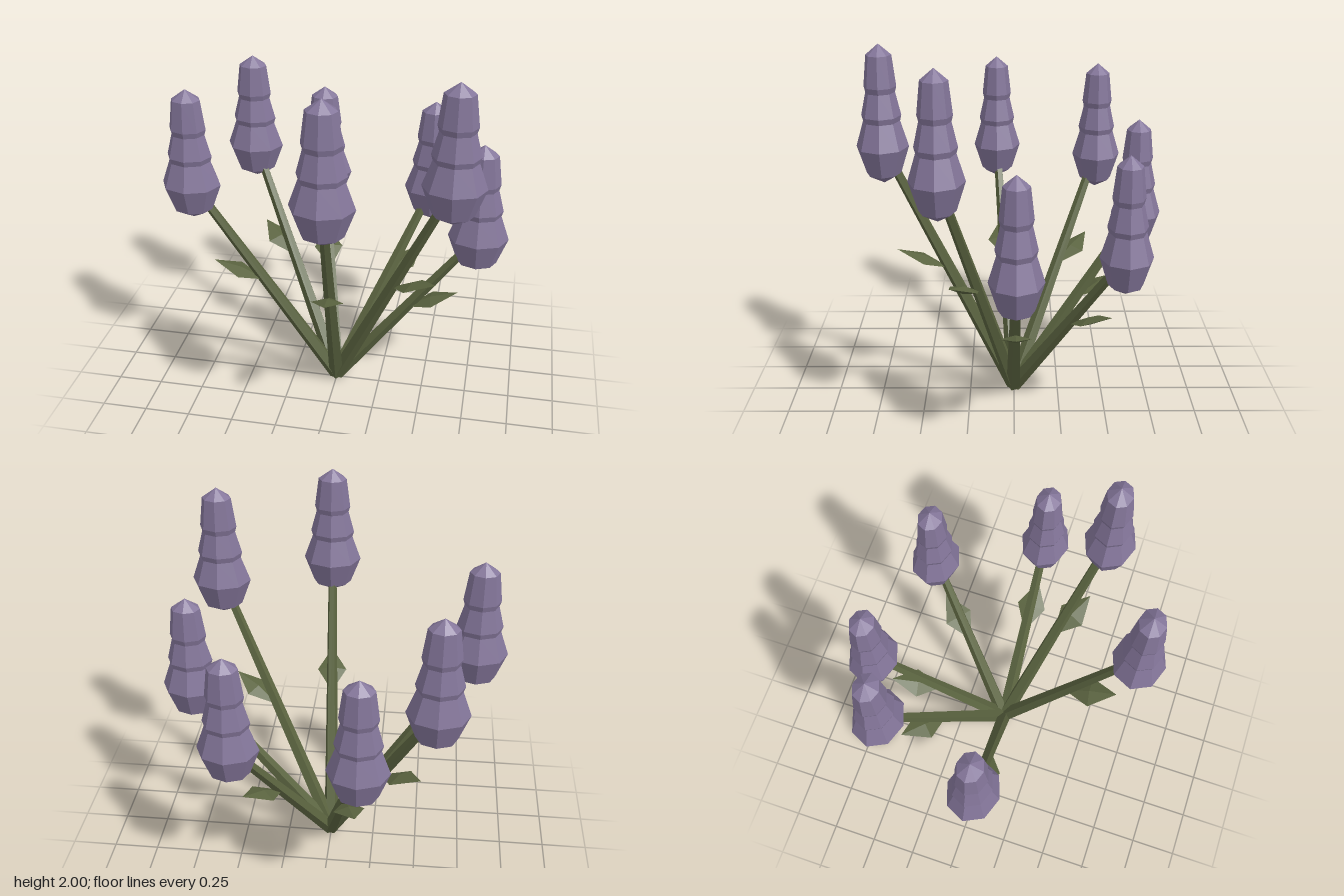
import * as THREE from 'three';

export function createModel() {
  const model = new THREE.Group();
  model.name = 'flowerCluster';

  const petal = new THREE.MeshStandardMaterial({ color: 0x84769a, flatShading: true });
  petal.name = 'dusty purple';
  const green = new THREE.MeshStandardMaterial({ color: 0x5b6440, flatShading: true });
  green.name = 'olive green';

  // Tiered flower head: [radius, height below the tip], listed bottom to top
  const profile = [
    [0, -0.73], [0.106, -0.675], [0.16, -0.53], [0.112, -0.395], [0.121, -0.365],
    [0.089, -0.245], [0.098, -0.215], [0.077, -0.055], [0, 0],
  ].map(([r, y]) => new THREE.Vector2(r, y));
  const headGeometry = new THREE.LatheGeometry(profile, 8);
  headGeometry.scale(1, 1, 0.85);

  // Thin diamond leaf pointing along +z from its base
  const leafGeometry = new THREE.OctahedronGeometry(1);
  leafGeometry.scale(0.084, 0.02, 0.153);
  leafGeometry.translate(0, 0, 0.153);

  // Each flower: x, z and height of the tip
  const flowers = [
    [0.06, 0.68, 2.0], [0.64, 0.36, 2.0],
    [-0.77, 0.10, 1.77], [-0.57, -0.48, 1.77],
    [-0.20, -0.68, 1.54], [0.46, -0.56, 1.54], [0.76, -0.01, 1.54],
  ];
  const up = new THREE.Vector3(0, 1, 0);
  const root = new THREE.Vector3(0, 0.022, 0);

  for (const [x, z, tip] of flowers) {
    const flower = new THREE.Group();
    flower.name = 'flower';

    const head = new THREE.Mesh(headGeometry, petal);
    head.name = 'flowerHead';
    head.position.set(x, tip, z);

    // Straight tapered stem running into the widest part of the head
    const end = new THREE.Vector3(x, tip - 0.53, z);
    const along = end.clone().sub(root);
    const stem = new THREE.Mesh(new THREE.CylinderGeometry(0.023, 0.043, along.length(), 5), green);
    stem.name = 'stem';
    stem.position.copy(root).addScaledVector(along, 0.5);
    stem.quaternion.setFromUnitVectors(up, along.clone().normalize());

    // Leaf growing outward halfway up the stem
    const leaf = new THREE.Mesh(leafGeometry, green);
    leaf.name = 'leaf';
    leaf.position.copy(root).addScaledVector(along, 0.515);
    leaf.rotation.set(-Math.atan2(0.12, 0.28), Math.atan2(x, z), 0, 'YXZ');

    flower.add(stem, leaf, head);
    model.add(flower);
  }
  return model;
}
